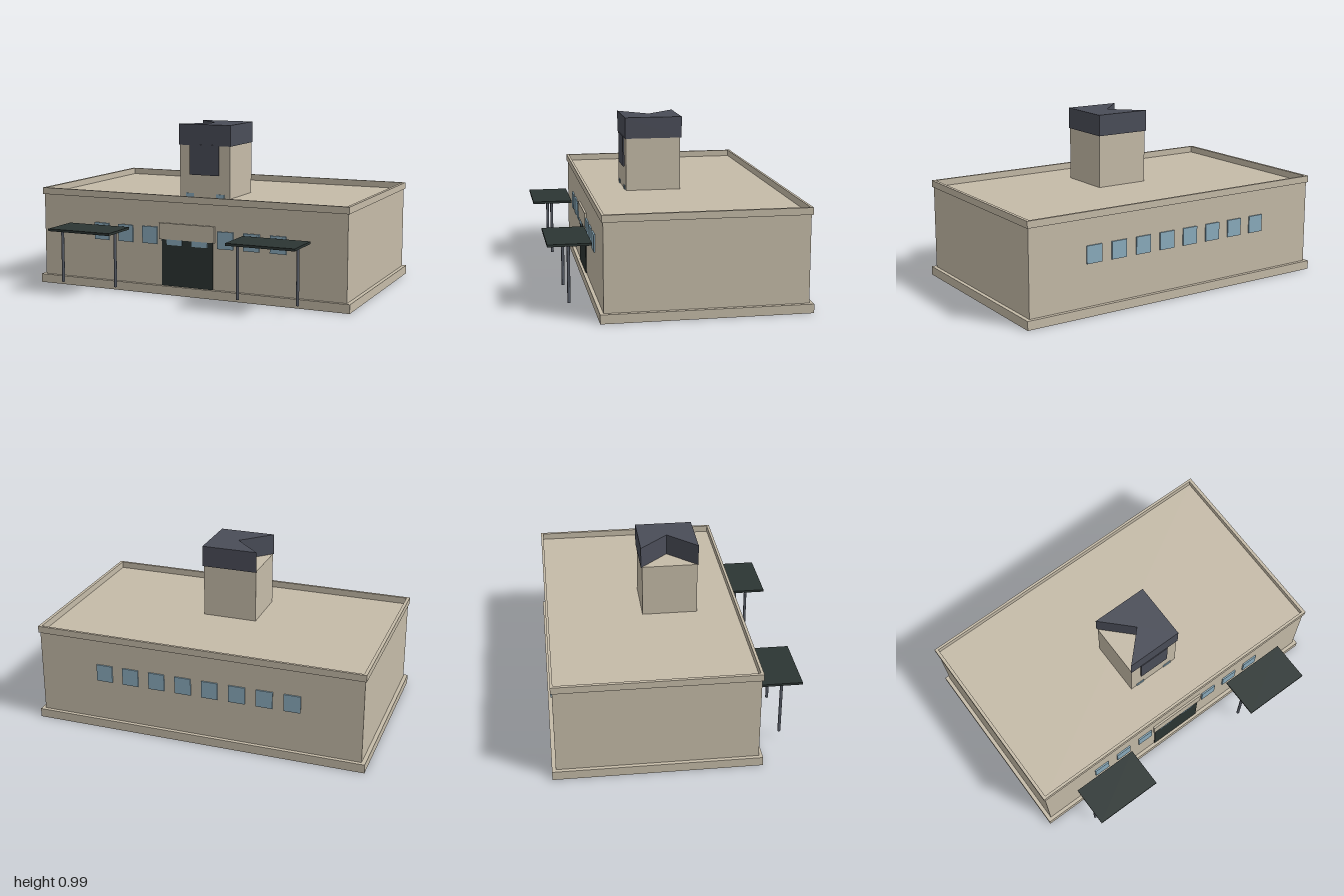
import * as THREE from 'three';

const mat = (name, color) => {
  const m = new THREE.MeshStandardMaterial({ color });
  m.name = name;
  return m;
};

export function createModel() {
  const stone = mat('beige stone', 0xc5bba8);
  const slate = mat('slate', 0x4a4d58);
  const glass = mat('blue glass', 0x8bacbd);
  const dark = mat('dark green', 0x2c3533);
  const steel = mat('grey steel', 0x575c66);
  const model = new THREE.Group();
  model.name = 'building';

  const add = (name, geometry, material, parent = model) => {
    const mesh = new THREE.Mesh(geometry, material);
    mesh.name = name;
    parent.add(mesh);
    return mesh;
  };
  // Box given by its limits on each axis
  const box = (name, material, [x0, x1], [y0, y1], [z0, z1], parent) => {
    const mesh = add(name, new THREE.BoxGeometry(x1 - x0, y1 - y0, z1 - z0), material, parent);
    mesh.position.set((x0 + x1) / 2, (y0 + y1) / 2, (z0 + z1) / 2);
    return mesh;
  };
  // Flat outline in (x, z), extruded upwards from y0 to y1
  const slab = (points, y0, y1, hole) => {
    const toShape = (pts) => pts.map(([x, z]) => new THREE.Vector2(x, -z));
    const shape = new THREE.Shape(toShape(points));
    if (hole) shape.holes.push(new THREE.Path(toShape(hole)));
    return new THREE.ExtrudeGeometry(shape, { depth: y1 - y0, bevelEnabled: false })
      .rotateX(-Math.PI / 2).translate(0, y0, 0);
  };
  const rect = (x, z0, z1) => [[-x, z1], [x, z1], [x, z0], [-x, z0]];

  // Main block
  box('plinth', stone, [-1, 1], [0, 0.052], [-0.722, 0.463]);
  box('walls', stone, [-0.977, 0.977], [0.052, 0.553], [-0.7, 0.442]);
  add('parapet', slab(rect(0.985, -0.709, 0.45), 0.552, 0.592, rect(0.966, -0.694, 0.434)), stone);

  // Front and back window rows
  for (let i = 0; i < 8; i++) {
    const x = -0.572 + i * 0.163;
    box('frontWindow', glass, [x - 0.049, x + 0.049], [0.298, 0.4], [0.442, 0.451]);
    box('backWindow', glass, [x - 0.049, x + 0.049], [0.298, 0.4], [-0.708, -0.7]);
  }

  // Entrance
  box('door', dark, [-0.167, 0.163], [0.052, 0.335], [0.442, 0.447]);
  box('entrancePanel', stone, [-0.18, 0.176], [0.331, 0.427], [0.442, 0.454]);

  // Tower with notched cap
  const tower = new THREE.Group();
  tower.name = 'tower';
  model.add(tower);
  box('towerShaft', stone, [-0.166, 0.162], [0.553, 0.868], [-0.13, 0.199], tower);
  add('towerCap', slab([[-0.171, 0.204], [0.167, 0.204], [0.167, -0.138], [-0.171, -0.138], [-0.002, 0.033]],
    0.867, 0.993), slate, tower);
  box('towerPlate', slate, [-0.098, 0.092], [0.689, 0.872], [0.199, 0.208], tower);
  for (const x of [-0.1, 0.1])
    box('towerWindow', glass, [x - 0.027, x + 0.027], [0.553, 0.577], [0.199, 0.203], tower);

  // Free-standing canopies on two posts
  for (const x of [-0.572, 0.568]) {
    const canopy = new THREE.Group();
    canopy.name = 'canopy';
    canopy.position.x = x;
    model.add(canopy);
    box('canopyRoof', dark, [-0.204, 0.204], [0.377, 0.391], [0.477, 0.722], canopy);
    for (const side of [-1, 1])
      add('canopyPost', new THREE.CylinderGeometry(0.009, 0.009, 0.326, 8), steel, canopy)
        .position.set(side * 0.179, 0.215, 0.605);
  }
  return model;
}
